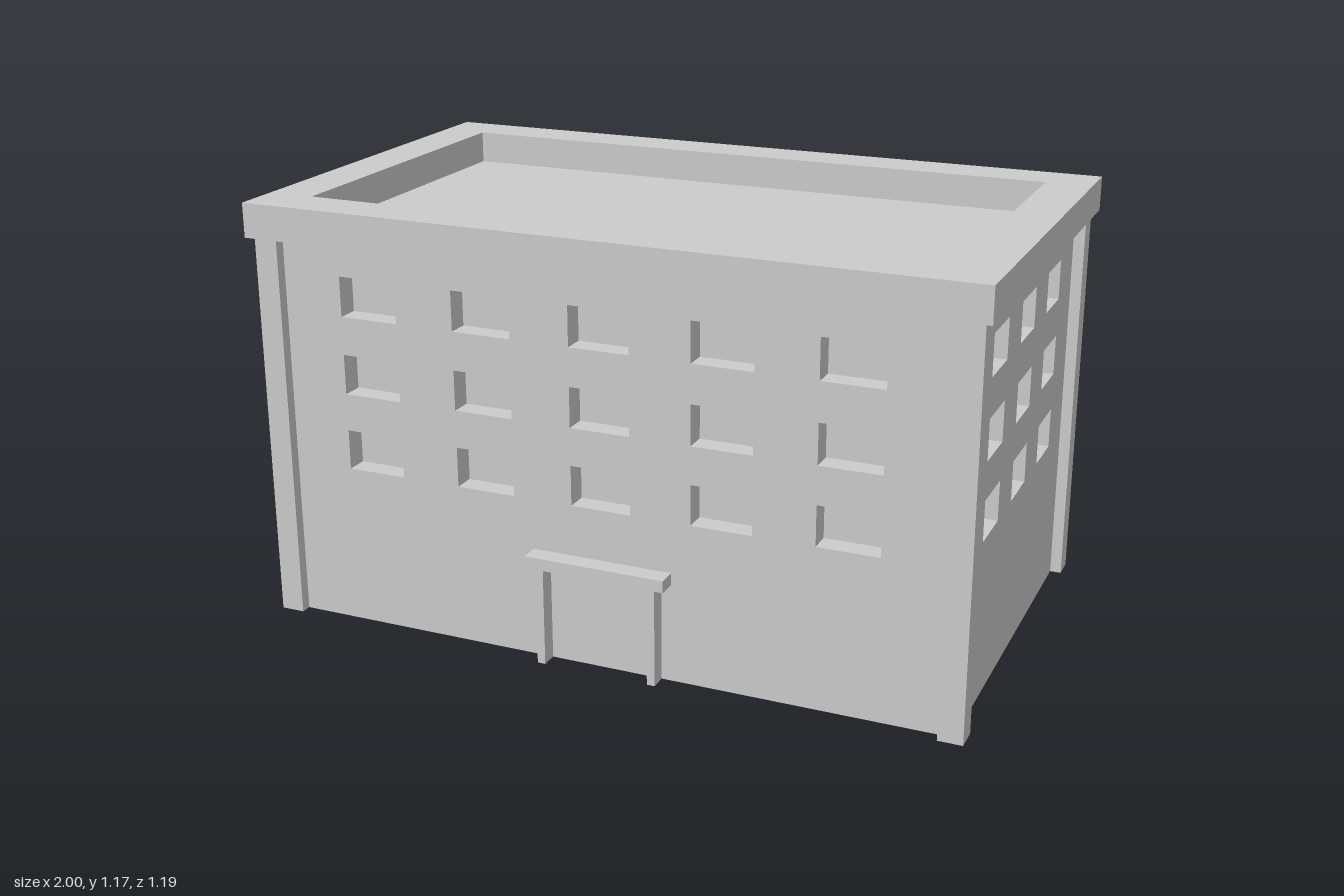
import * as THREE from 'three';

const material = new THREE.MeshStandardMaterial({ color: 0xcccccc, flatShading: true });

const HEIGHT = 1.167, EAVES = 1.073, ROOF = 1.078;
const WALL_X = 0.95, WALL_Z = 0.547, RECESS = 0.06;
const ROWS = [0.5, 0.713, 0.928];
const WINDOW_H = 0.11;

function rect(target, x0, y0, x1, y1) {
  target.moveTo(x0, y0);
  target.lineTo(x1, y0);
  target.lineTo(x1, y1);
  target.lineTo(x0, y1);
  target.closePath();
  return target;
}

function addMesh(parent, name, geometry, x = 0, y = 0, z = 0) {
  const mesh = new THREE.Mesh(geometry, material);
  mesh.name = name;
  mesh.position.set(x, y, z);
  parent.add(mesh);
  return mesh;
}

// Box given by its lower and upper corners
function addBox(parent, name, [x0, y0, z0], [x1, y1, z1]) {
  return addMesh(parent, name, new THREE.BoxGeometry(x1 - x0, y1 - y0, z1 - z0),
    (x0 + x1) / 2, (y0 + y1) / 2, (z0 + z1) / 2);
}

// Wall panel pierced by a grid of window openings, facing +z
function wallGeometry(halfWidth, columns, windowW) {
  const shape = rect(new THREE.Shape(), -halfWidth, 0, halfWidth, ROOF);
  for (const x of columns) {
    for (const y of ROWS) {
      shape.holes.push(rect(new THREE.Path(),
        x - windowW / 2, y - WINDOW_H / 2, x + windowW / 2, y + WINDOW_H / 2));
    }
  }
  return new THREE.ExtrudeGeometry(shape, { depth: RECESS, bevelEnabled: false });
}

export function createModel() {
  const model = new THREE.Group();
  model.name = 'officeBuilding';

  // Body, shifted slightly back to leave room for the porch
  const body = new THREE.Group();
  body.name = 'body';
  body.position.z = -0.003;
  model.add(body);

  // Solid core: its sides are the window panes, its top the roof deck
  const cx = WALL_X - RECESS, cz = WALL_Z - RECESS;
  addBox(body, 'coreAndRoofDeck', [-cx, 0, -cz], [cx, ROOF, cz]);

  // Four walls with windows
  const longWall = wallGeometry(WALL_X, [-0.664, -0.332, 0, 0.332, 0.664], 0.166);
  const sideWall = wallGeometry(cz, [-0.287, 0, 0.287], 0.148);
  addMesh(body, 'frontWall', longWall, 0, 0, cz);
  addMesh(body, 'backWall', longWall, 0, 0, -cz).rotation.y = Math.PI;
  addMesh(body, 'leftWall', sideWall, cx, 0, 0).rotation.y = Math.PI / 2;
  addMesh(body, 'rightWall', sideWall, -cx, 0, 0).rotation.y = -Math.PI / 2;

  // Corner pillars
  const pillar = new THREE.BoxGeometry(0.066, EAVES, 0.066);
  for (const sx of [-1, 1]) {
    for (const sz of [-1, 1]) {
      addMesh(body, 'cornerPillar', pillar, sx * 0.948, EAVES / 2, sz * 0.544);
    }
  }

  // Parapet ring around the sunken roof deck
  const ring = rect(new THREE.Shape(), -1, -0.594, 1, 0.594);
  ring.holes.push(rect(new THREE.Path(), -0.872, -0.464, 0.872, 0.464));
  const parapet = new THREE.ExtrudeGeometry(ring, { depth: HEIGHT - EAVES, bevelEnabled: false });
  parapet.rotateX(-Math.PI / 2);
  addMesh(body, 'parapet', parapet, 0, EAVES, 0);

  // Entrance: two posts and a canopy
  const entrance = new THREE.Group();
  entrance.name = 'entrance';
  model.add(entrance);
  const front = WALL_Z - 0.003;
  for (const side of [-1, 1]) {
    addMesh(entrance, 'entrancePost', new THREE.BoxGeometry(0.022, 0.272, 0.065),
      side * 0.158, 0.136, 0.59 - 0.0325);
  }
  addBox(entrance, 'canopy', [-0.196, 0.272, front - 0.02], [0.196, 0.305, 0.597]);

  return model;
}
